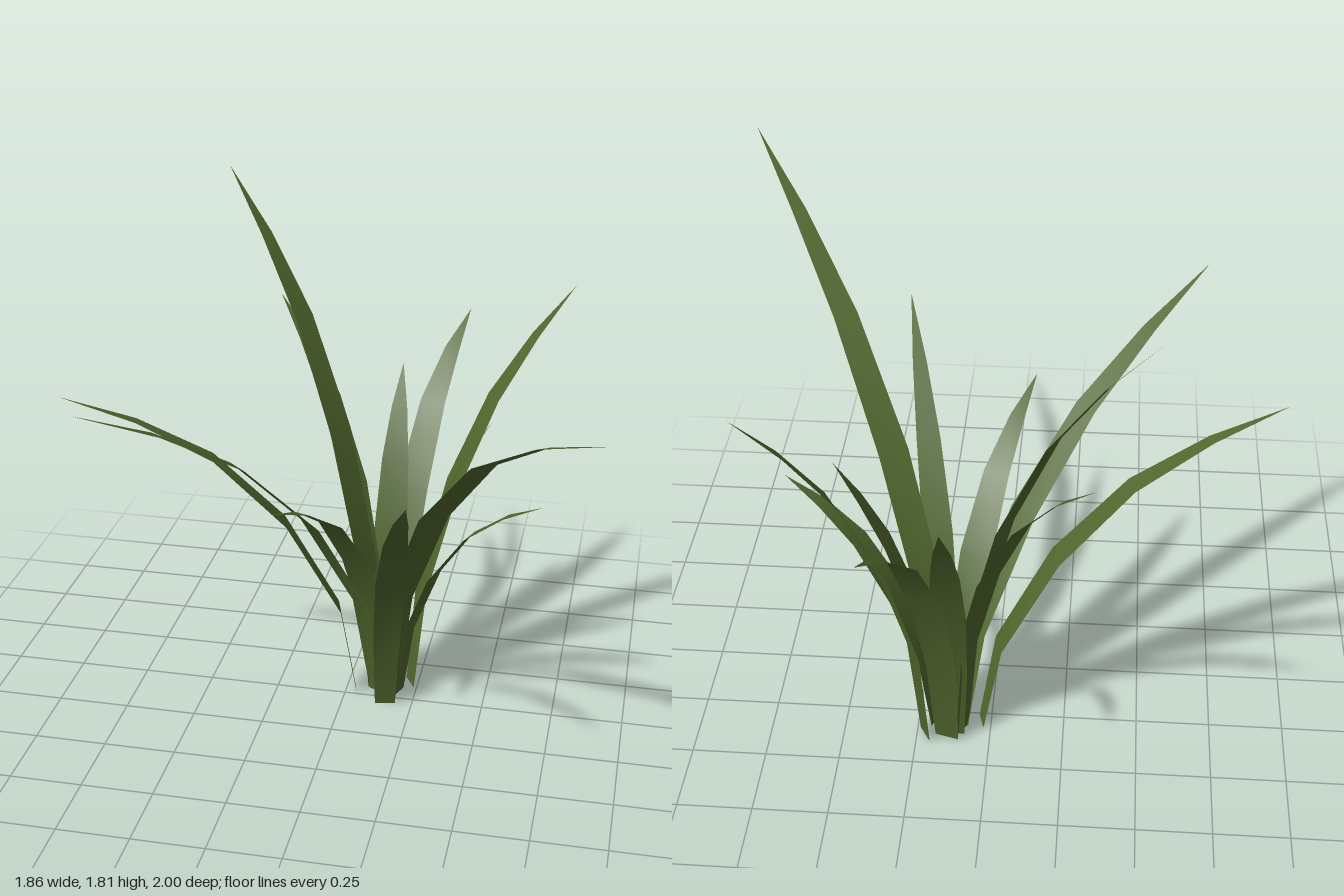
import * as THREE from 'three';

// Each blade: tip x, tip height, tip z, base radius from the crown, arch, width
const BLADES = [
  [0.93, 1.605, 1.00, 0.05, 0.82, 0.105],
  [-0.68, 1.365, 0.55, 0.035, 0.83, 0.105],
  [0.345, 1.18, 0.60, 0.11, 0.58, 0.10],
  [-0.11, 1.01, 0.375, 0.03, 1.08, 0.11],
  [-0.93, 1.175, -0.02, 0.10, 1.00, 0.095],
  [-0.505, 1.81, -0.70, 0.04, 0.70, 0.10],
  [-0.335, 1.34, -0.74, 0.03, 0.87, 0.10],
  [0.12, 1.125, -0.70, 0.04, 0.66, 0.115],
  [0.32, 1.24, -1.00, 0.06, 1.00, 0.115],
  [0.72, 1.47, -0.655, 0.105, 0.73, 0.105],
  [0.49, 1.09, -0.31, 0.045, 0.65, 0.115],
  [0.69, 0.885, -0.105, 0.065, 1.00, 0.10],
];
const CROWN = { x: 0.13, z: -0.315 };
const REACH = [0, 0.06, 0.25, 0.495, 0.75, 1];  // outward travel at each joint
const LIFT = [0, 0.09, 0.185, 0.2, 0.122, 0];   // rise above a straight line
const WIDTH = [0.72, 0.95, 1.02, 0.82, 0.48, 0]; // taper at each joint

// Flat strip of five segments that arches outward to a point
function bladeGeometry([tx, ty, tz, radius, arch, width]) {
  const dx = tx - CROWN.x, dz = tz - CROWN.z;
  const length = Math.hypot(dx, dz);
  const ux = dx / length, uz = dz / length;
  const positions = [], index = [];
  REACH.forEach((reach, i) => {
    const out = radius + (length - radius) * reach;
    const y = ty * (i / 5 + arch * LIFT[i]);
    const half = width * WIDTH[i] / 2;
    for (const side of i === 5 ? [0] : [-1, 1]) {
      positions.push(
        CROWN.x + ux * out - uz * half * side,
        y,
        CROWN.z + uz * out + ux * half * side,
      );
    }
    const a = i * 2;
    if (i < 4) index.push(a, a + 2, a + 1, a + 1, a + 2, a + 3);
    if (i === 4) index.push(a, a + 2, a + 1);
  });
  const geometry = new THREE.BufferGeometry();
  geometry.setAttribute('position', new THREE.Float32BufferAttribute(positions, 3));
  geometry.setIndex(index);
  geometry.computeVertexNormals();
  return geometry;
}

export function createModel() {
  const plant = new THREE.Group();
  plant.name = 'grassTuft';
  const leafGreen = new THREE.MeshStandardMaterial({ color: 0x50662d, side: THREE.DoubleSide });
  leafGreen.name = 'leaf green';
  BLADES.forEach((blade, i) => {
    const mesh = new THREE.Mesh(bladeGeometry(blade), leafGreen);
    mesh.name = `blade${i + 1}`;
    plant.add(mesh);
  });
  return plant;
}
